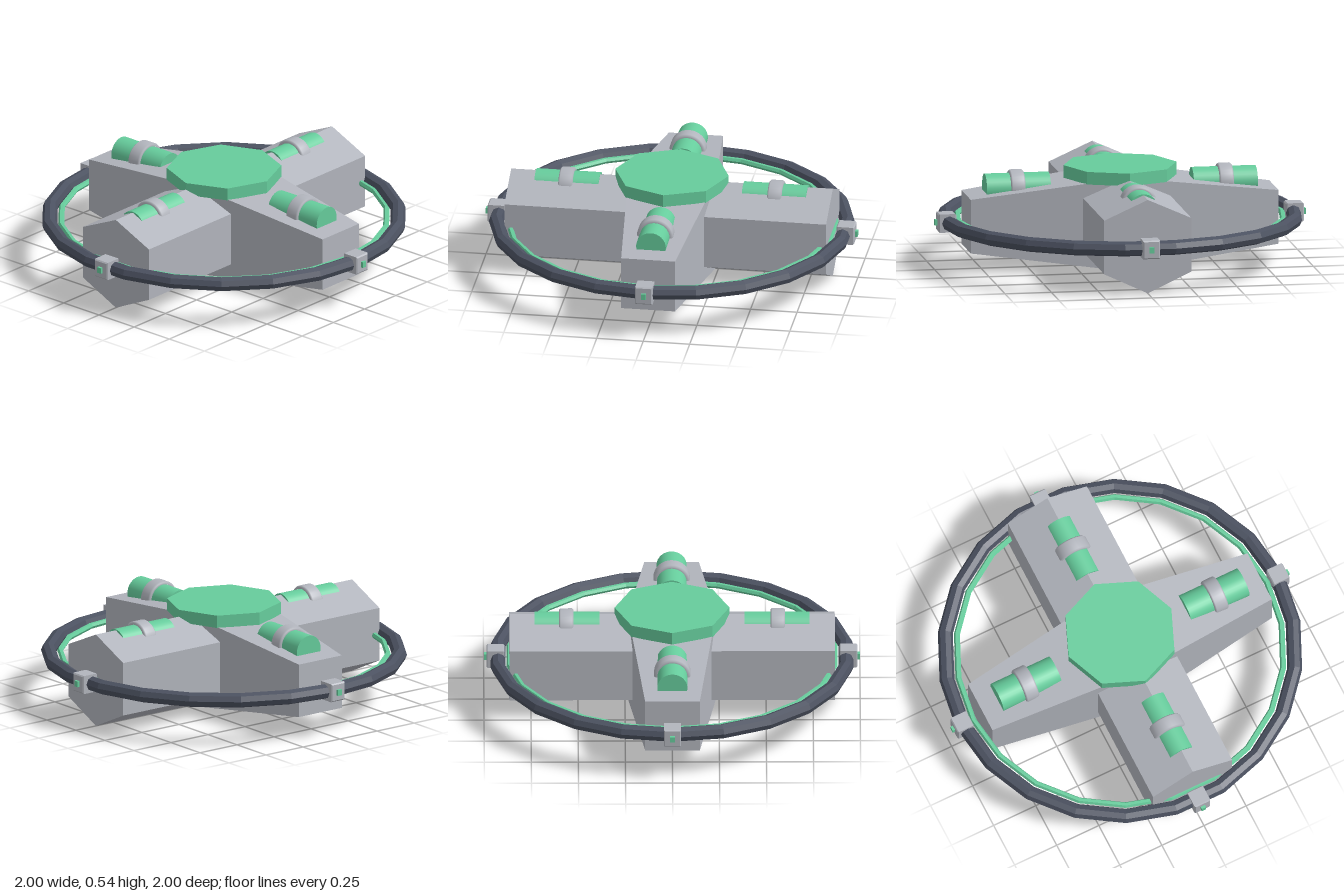
import * as THREE from 'three';

export function createModel() {
  const model = new THREE.Group();
  const mat = (name, color) => {
    const m = new THREE.MeshStandardMaterial({ color });
    m.name = name;
    return m;
  };
  const grey = mat('hull grey', 0xb2b5bd);
  const green = mat('accent green', 0x66cc9c);
  const dark = mat('ring slate', 0x4b5160);

  const add = (parent, name, geometry, material, x = 0, y = 0, z = 0) => {
    const mesh = new THREE.Mesh(geometry, material);
    mesh.name = name;
    mesh.position.set(x, y, z);
    parent.add(mesh);
    return mesh;
  };
  const flat = (geometry) => {
    const g = geometry.index ? geometry.toNonIndexed() : geometry;
    g.computeVertexNormals();
    return g;
  };

  // Long arm: hexagonal prism running front to back
  const hexagon = new THREE.Shape([
    [0, 0], [0.235, 0.11], [0.235, 0.4], [0, 0.505], [-0.235, 0.4], [-0.235, 0.11],
  ].map(([x, y]) => new THREE.Vector2(x, y)));
  const prism = new THREE.ExtrudeGeometry(hexagon, { depth: 1.73, bevelEnabled: false });
  prism.translate(0, 0, -0.865);
  add(model, 'longArm', prism, grey);

  // Cross arm: box that tapers from the middle towards both ends
  const taper = new THREE.BoxGeometry(1.66, 0.505, 0.47, 2, 1, 1);
  const pos = taper.attributes.position;
  for (let i = 0; i < pos.count; i++) {
    if (Math.abs(pos.getX(i)) > 0.5) {
      pos.setY(i, Math.sign(pos.getY(i)) * 0.145);
      pos.setZ(i, Math.sign(pos.getZ(i)) * 0.145);
    }
  }
  taper.translate(0, 0.2535, 0);
  add(model, 'crossArm', flat(taper), grey);

  // Octagonal top plate
  add(model, 'topPlate', flat(new THREE.CylinderGeometry(0.305, 0.305, 0.068, 8)), green, 0, 0.509, 0);

  // Outer and inner rings
  const ring = (radius, tube, sides) => {
    const g = new THREE.TorusGeometry(radius, tube, sides, 22);
    g.rotateX(Math.PI / 2);
    return flat(g);
  };
  add(model, 'outerRing', ring(0.934, 0.04, 8), dark, 0, 0.255, 0);
  add(model, 'innerRing', ring(0.872, 0.016, 6), green, 0, 0.255, 0);

  // Shared shapes for the four spokes
  const podGeometry = new THREE.CylinderGeometry(0.08, 0.08, 0.345, 32);
  podGeometry.rotateZ(Math.PI / 2);
  const collarProfile = [
    [0.08, -0.038], [0.09, -0.038], [0.097, -0.03], [0.097, 0.03], [0.09, 0.038], [0.08, 0.038],
  ].map(([r, y]) => new THREE.Vector2(r, y));
  const collarGeometry = new THREE.LatheGeometry(collarProfile, 32);
  collarGeometry.rotateZ(Math.PI / 2);

  // Clamp block with bevelled edges
  const side = 0.04;
  const square = new THREE.Shape([
    [-side, -side], [side, -side], [side, side], [-side, side],
  ].map(([x, y]) => new THREE.Vector2(x, y)));
  const clampGeometry = new THREE.ExtrudeGeometry(square, {
    depth: 0.084, bevelThickness: 0.006, bevelSize: 0.006, bevelSegments: 1,
  });
  clampGeometry.translate(0, 0, -0.042);
  clampGeometry.rotateY(Math.PI / 2);
  clampGeometry.scale(1, 1.08, 1);
  const studGeometry = new THREE.BoxGeometry(0.03, 0.032, 0.026);

  // Pod, collar, clamp and stud on each spoke
  ['left', 'back', 'right', 'front'].forEach((where, i) => {
    const spoke = new THREE.Group();
    spoke.name = where + 'Spoke';
    spoke.rotation.y = i * Math.PI / 2;
    add(spoke, 'pod', podGeometry, green, 0.558, 0.43, 0);
    add(spoke, 'podCollar', collarGeometry, grey, 0.562, 0.431, 0);
    add(spoke, 'ringClamp', clampGeometry, grey, 0.938, 0.256, 0);
    add(spoke, 'clampStud', studGeometry, green, 0.985, 0.256, 0);
    model.add(spoke);
  });

  return model;
}
